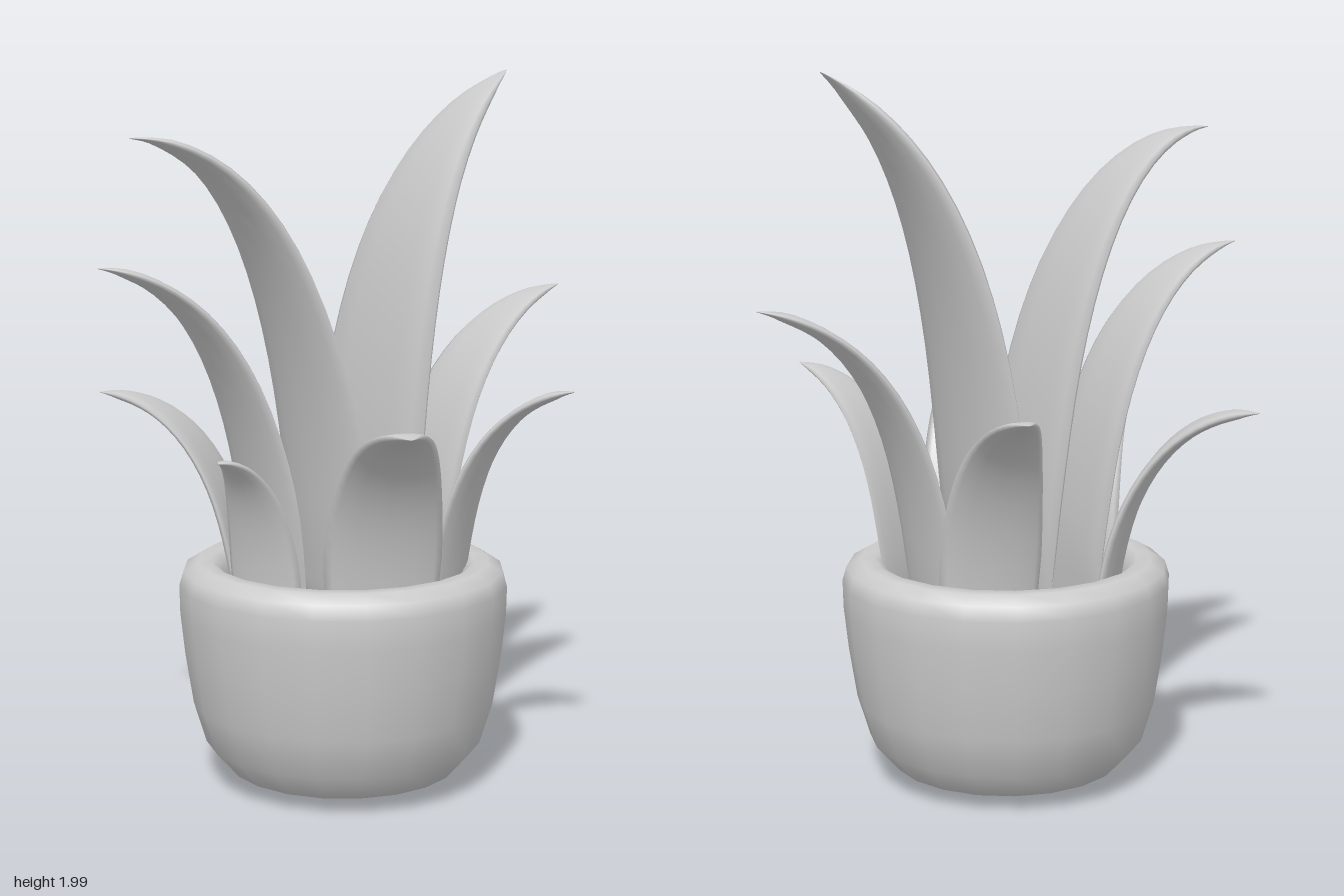
import * as THREE from 'three';

const SOIL_Y = 0.47;
const material = new THREE.MeshStandardMaterial({ color: 0xcccccc });

// One blade: lens-shaped, slightly cupped sections swept along an arching curve.
// base: [x, z], tip: [x, y, z], width: widest span, lift: height of the arch before the tip
function leafGeometry({ base, tip, width, lift = 1 }) {
  const RINGS = 22, SIDES = 12;
  const dx = tip[0] - base[0], dz = tip[2] - base[1];
  const reach = Math.hypot(dx, dz), height = tip[1] - SOIL_Y;
  const out = new THREE.Vector3(dx / reach, 0, dz / reach);
  const at = (r, h) => new THREE.Vector3(base[0], SOIL_Y + h * height, base[1]).addScaledVector(out, r * reach);
  const curve = new THREE.CubicBezierCurve3(at(0, 0), at(0.04, 0.66), at(0.44, lift), at(1, 1));
  const side = new THREE.Vector3(out.z, 0, -out.x);
  const pos = [], idx = [];

  for (let i = 0; i <= RINGS; i++) {
    const t = 1 - Math.pow(1 - i / RINGS, 1.6);
    const p = curve.getPointAt(t), tangent = curve.getTangentAt(t);
    const inner = new THREE.Vector3().crossVectors(tangent, side);
    const taper = (0.88 + 0.12 * Math.min(1, t / 0.3)) * (1 - t ** 3);
    const w = width * (taper + 0.3 * Math.sqrt(1 - t) * t ** 4 + 0.01);
    const thick = (0.02 + 0.25 * w * width) * Math.min(1, 0.4 + 4 * t) * Math.min(1, 0.1 + 12 * (1 - t));
    for (let j = 0; j < SIDES; j++) {
      const a = (j / SIDES) * Math.PI * 2, c = Math.cos(a);
      const v = p.clone().addScaledVector(side, c * w / 2)
        .addScaledVector(inner, Math.sin(a) * thick / 2 + 0.04 * w * (c * c - 0.5));
      pos.push(v.x, v.y, v.z);
    }
  }
  for (let i = 0; i < RINGS; i++) {
    for (let j = 0; j < SIDES; j++) {
      const k = (j + 1) % SIDES;
      const a = i * SIDES + j, b = i * SIDES + k;
      idx.push(a, b, a + SIDES, b, b + SIDES, a + SIDES);
    }
  }
  // End caps
  const last = RINGS * SIDES;
  for (let j = 1; j < SIDES - 1; j++) {
    idx.push(0, j + 1, j, last, last + j, last + j + 1);
  }
  const geometry = new THREE.BufferGeometry();
  geometry.setAttribute('position', new THREE.Float32BufferAttribute(pos, 3));
  geometry.setIndex(idx);
  geometry.computeVertexNormals();
  return geometry;
}

export function createModel() {
  const model = new THREE.Group();
  const add = (name, geometry, parent = model) => {
    const mesh = new THREE.Mesh(geometry, material);
    mesh.name = name;
    parent.add(mesh);
    return mesh;
  };

  // Rounded pot with a soft rim and a hollow top
  const profile = [
    [0, 0.005], [0.12, 0.01], [0.23, 0.02], [0.325, 0.05], [0.39, 0.125], [0.425, 0.24],
    [0.447, 0.38], [0.46, 0.5], [0.462, 0.58], [0.45, 0.62], [0.41, 0.643],
    [0.37, 0.643], [0.34, 0.62], [0.325, 0.57], [0.32, SOIL_Y - 0.02],
  ].map(([r, y]) => new THREE.Vector2(r, y));
  add('pot', new THREE.LatheGeometry(profile, 20)).position.set(0.03, 0, -0.007);

  // Soil closing the inside of the pot
  const soil = new THREE.CircleGeometry(0.33, 20).rotateX(-Math.PI / 2);
  add('soil', soil).position.set(0.03, SOIL_Y, -0.007);

  // Leaves, from the tall inner pair to the short outer ring
  const leaves = new THREE.Group();
  leaves.name = 'leaves';
  model.add(leaves);
  const specs = {
    tallLeafBack: { base: [0.08, -0.05], tip: [0.435, 1.995, -0.36], width: 0.55, lift: 0.89 },
    tallLeafFront: { base: [0.0, 0.015], tip: [-0.455, 1.825, 0.41], width: 0.45, lift: 1.0 },
    middleLeafFront: { base: [-0.13, 0.14], tip: [-0.53, 1.495, 0.47], width: 0.36, lift: 0.97 },
    middleLeafBack: { base: [0.21, -0.14], tip: [0.585, 1.38, -0.465], width: 0.34, lift: 0.95 },
    shortLeafBack: { base: [0.01, -0.28], tip: [-0.18, 1.14, -0.605], width: 0.29, lift: 0.97 },
    shortLeafRight: { base: [-0.265, -0.05], tip: [-0.68, 1.09, -0.045], width: 0.29 },
    shortLeafLeft: { base: [0.325, 0.01], tip: [0.675, 1.15, 0.105], width: 0.27, lift: 0.96 },
    shortLeafFront: { base: [0.17, 0.2], tip: [0.305, 1.095, 0.6], width: 0.33 },
    smallLeafFront: { base: [-0.135, 0.245], tip: [-0.22, 0.99, 0.455], width: 0.23 },
  };
  for (const [name, spec] of Object.entries(specs)) add(name, leafGeometry(spec), leaves);

  return model;
}
